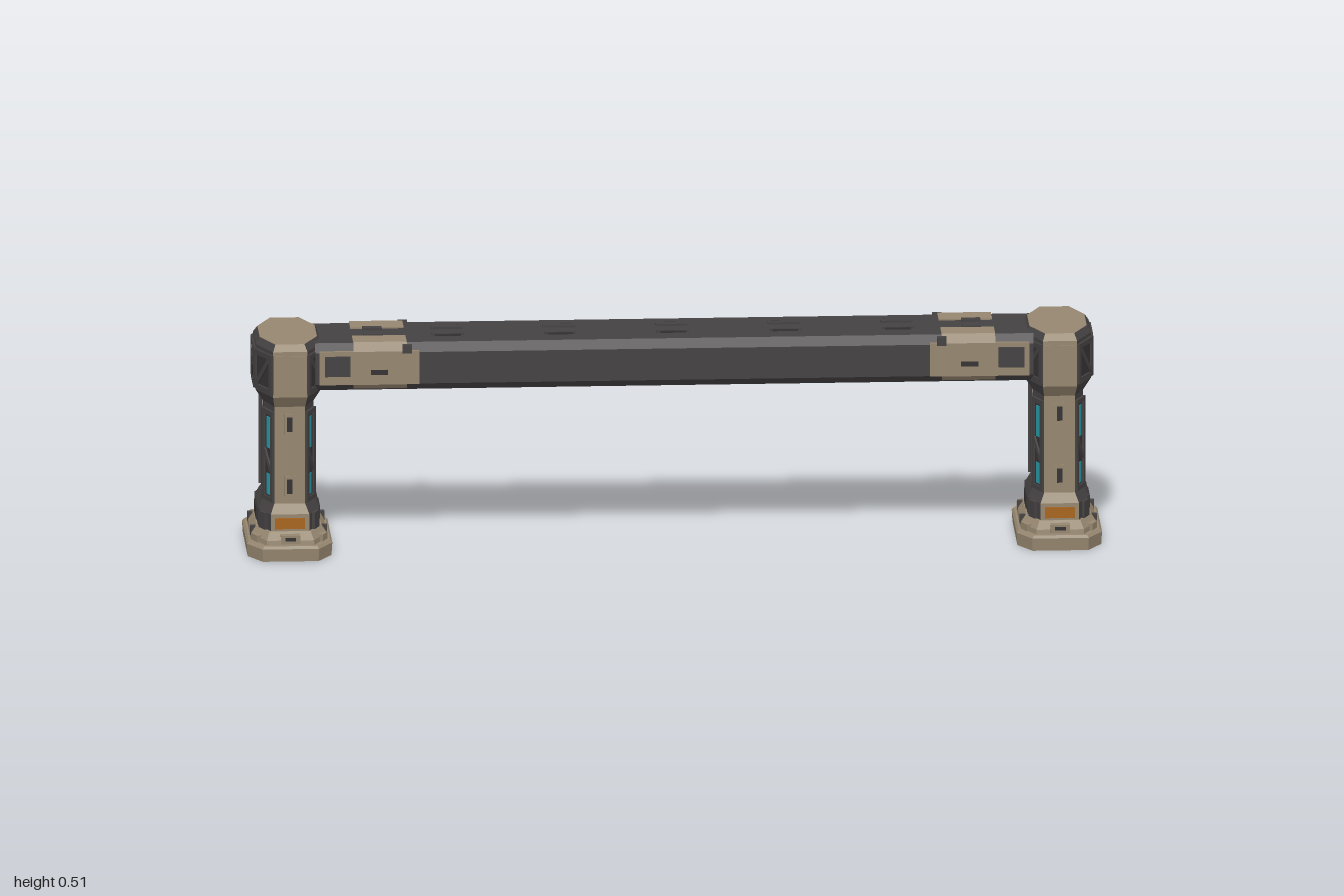
import * as THREE from 'three';

const mat = (name, color) => Object.assign(new THREE.MeshStandardMaterial({ color }), { name });
const dark = mat('dark steel', 0x454142);
const deep = mat('recess steel', 0x353233);
const tan = mat('tan armour', 0x95866f);
const cyan = mat('cyan light', 0x2799a8);
const orange = mat('orange marking', 0xa8651f);

function add(parent, name, geometry, material) {
  const m = new THREE.Mesh(geometry, material);
  m.name = name;
  parent.add(m);
  return m;
}

function box(parent, name, material, w, h, d, x, y, z, rz = 0) {
  const m = add(parent, name, new THREE.BoxGeometry(w, h, d), material);
  m.position.set(x, y, z);
  m.rotation.z = rz;
  return m;
}

// Elongated octagon in plan: hx, hz are half sizes, a and b the half widths of the flats
const oct = (hx, hz, a, b) => [[hx, a], [b, hz], [-b, hz], [-hx, a], [-hx, -a], [-b, -hz], [b, -hz], [hx, -a]];

// Stack of plan outlines [y, points]; sideMat(i) is the material index of each side
function loft(rings, sideMat, topMat, bottomMat) {
  const faces = [];
  const n = rings[0][1].length;
  const at = (r, i) => [r[1][i % n][0], r[0], r[1][i % n][1]];
  for (let k = 0; k + 1 < rings.length; k++) {
    const lo = rings[k], hi = rings[k + 1];
    for (let i = 0; i < n; i++) {
      const [p, q, r, s] = [at(lo, i + 1), at(lo, i), at(hi, i), at(hi, i + 1)];
      faces.push([sideMat(i), p, q, r, p, r, s]);
    }
  }
  const last = rings[rings.length - 1];
  for (let i = 1; i + 1 < n; i++) {
    faces.push([bottomMat, at(rings[0], 0), at(rings[0], i), at(rings[0], i + 1)]);
    faces.push([topMat, at(last, 0), at(last, i + 1), at(last, i)]);
  }
  const pos = [];
  const g = new THREE.BufferGeometry();
  for (const [m, ...pts] of faces) {
    g.addGroup(pos.length / 3, pts.length, m);
    pos.push(...pts.flat());
  }
  g.setAttribute('position', new THREE.Float32BufferAttribute(pos, 3));
  g.computeVertexNormals();
  return g;
}

// Local frame on one side of an outline: x along the side, y up, z outwards
function onSide(parent, name, pts, i) {
  const [x0, z0] = pts[i], [x1, z1] = pts[(i + 1) % pts.length];
  const g = new THREE.Group();
  g.name = name;
  g.position.set((x0 + x1) / 2, 0, (z0 + z1) / 2);
  g.rotation.y = Math.atan2(z0 - z1 === 0 ? 0 : z1 - z0, x0 - x1);
  parent.add(g);
  return g;
}

// Rectangular raised frame
function frame(parent, name, w, h, y, t, d) {
  for (const s of [-1, 1]) {
    box(parent, name, dark, t, h, d, s * (w - t) / 2, y, d / 2);
    box(parent, name, dark, w - 2 * t, t, d, 0, y + s * (h - t) / 2, d / 2);
  }
}

const endsTan = i => (i === 1 || i === 5 ? 1 : 0);
const slants = [0, 2, 4, 6];

function makeLeg() {
  const leg = new THREE.Group();
  leg.name = 'leg';
  const two = [dark, tan];

  // Stepped foot
  add(leg, 'footSlab', loft([[0, oct(0.098, 0.158, 0.105, 0.065)], [0.03, oct(0.1, 0.16, 0.105, 0.066)],
    [0.036, oct(0.095, 0.155, 0.1, 0.062)]], () => 1, 1, 0), two);
  add(leg, 'footStep', loft([[0.035, oct(0.09, 0.147, 0.08, 0.056)], [0.047, oct(0.088, 0.145, 0.08, 0.055)],
    [0.065, oct(0.076, 0.128, 0.07, 0.048)]], () => 1, 1, 0), two);
  add(leg, 'footSkirt', loft([[0.064, oct(0.072, 0.125, 0.066, 0.045)], [0.105, oct(0.072, 0.125, 0.066, 0.045)],
    [0.128, oct(0.06, 0.113, 0.06, 0.036)]], endsTan, 0, 0), two);
  const skirt = oct(0.072, 0.125, 0.066, 0.045);
  for (const i of [1, 5]) {
    const f = onSide(leg, 'skirtEnd', skirt, i);
    box(f, 'orangeMarking', orange, 0.07, 0.026, 0.004, 0, 0.083, 0.001);
    box(f, 'footLatch', tan, 0.045, 0.02, 0.025, 0, 0.05, 0.014);
    box(f, 'footLatchSlot', deep, 0.025, 0.008, 0.004, 0, 0.051, 0.026);
  }
  for (const i of [3, 7]) {
    const f = onSide(leg, 'skirtSide', skirt, i);
    for (const s of [-1, 1]) box(f, 'footBracket', dark, 0.014, 0.022, 0.02, s * 0.062, 0.052, 0.008);
    box(f, 'skirtPanel', deep, 0.075, 0.03, 0.004, 0, 0.085, 0.001);
  }
  for (const i of slants) {
    const f = onSide(leg, 'skirtCorner', skirt, i);
    box(f, 'skirtRib', dark, 0.03, 0.04, 0.008, 0, 0.085, 0.003);
    box(f, 'footClamp', tan, 0.03, 0.016, 0.03, 0, 0.045, 0.012);
  }

  // Two solid posts with an open bay between them
  const col = oct(0.058, 0.113, 0.063, 0.036);
  const post = [[0.058, 0.04], ...col.slice(0, 4), [-0.058, 0.04]];
  for (const turn of [0, Math.PI]) {
    const half = new THREE.Group();
    half.name = 'post';
    half.rotation.y = turn;
    leg.add(half);
    add(half, 'postBody', loft([[0.12, post], [0.375, post]], i => (i === 2 ? 1 : 0), 0, 0), two);
    for (const y of [0.195, 0.305]) box(half, 'innerLight', cyan, 0.05, 0.075, 0.004, 0, y, 0.0395);
    for (const y of [0.17, 0.32]) {
      box(half, 'slotSurround', tan, 0.026, 0.05, 0.006, 0, y, 0.114);
      box(half, 'slot', deep, 0.013, 0.034, 0.004, 0, y, 0.1165);
    }
  }

  // Slanted faces: framed recess, lights and a brace
  for (const i of slants) {
    const f = onSide(leg, 'postCorner', col, i);
    frame(f, 'recessFrame', 0.054, 0.22, 0.24, 0.011, 0.006);
    box(f, 'recess', deep, 0.034, 0.2, 0.002, 0, 0.24, 0.0005);
    box(f, 'cornerLight', cyan, 0.015, 0.075, 0.004, 0, 0.295, 0.001);
    box(f, 'cornerLight', cyan, 0.015, 0.05, 0.004, 0, 0.17, 0.001);
    box(f, 'cornerBrace', dark, 0.01, 0.06, 0.006, 0, 0.228, 0.003, 0.6);
  }

  // Cross bracing on both open sides of the bay
  for (const x of [-0.052, 0.052]) {
    const truss = new THREE.Group();
    truss.name = 'crossBracing';
    truss.position.x = x;
    truss.rotation.y = Math.PI / 2;
    leg.add(truss);
    for (const y of [0.189, 0.306]) for (const s of [-1, 1])
      box(truss, 'brace', dark, 0.012, 0.138, 0.011, 0, y, 0, s * 0.61);
    box(truss, 'bottomRail', dark, 0.082, 0.012, 0.012, 0, 0.126, 0);
    box(truss, 'topRail', dark, 0.082, 0.02, 0.012, 0, 0.366, 0);
  }

  // Cap
  const cap = oct(0.077, 0.134, 0.056, 0.04);
  add(leg, 'cap', loft([[0.362, oct(0.058, 0.113, 0.06, 0.036)], [0.39, cap], [0.5, cap],
    [0.515, oct(0.067, 0.12, 0.05, 0.034)]], endsTan, 1, 0), two);
  for (const i of [1, 5]) {
    const f = onSide(leg, 'capEnd', cap, i);
    box(f, 'capEndPlate', tan, 0.07, 0.09, 0.005, 0, 0.445, 0.001);
  }
  for (const i of slants) {
    const f = onSide(leg, 'capCorner', cap, i);
    frame(f, 'capFrame', 0.088, 0.095, 0.444, 0.012, 0.006);
    box(f, 'capRecess', deep, 0.066, 0.073, 0.002, 0, 0.444, 0.0005);
    box(f, 'capBrace', dark, 0.011, 0.094, 0.006, 0, 0.444, 0.003, (i === 0 || i === 4 ? 1 : -1) * 0.72);
  }
  for (const i of [3, 7]) {
    const f = onSide(leg, 'capSide', cap, i);
    frame(f, 'capFrame', 0.108, 0.1, 0.444, 0.014, 0.005);
    const hatch = add(f, 'capHatch', new THREE.CylinderGeometry(0.036, 0.038, 0.006, 8), deep);
    hatch.geometry.rotateY(Math.PI / 8).rotateX(Math.PI / 2).scale(1, 0.6, 1);
    hatch.position.set(0, 0.432, 0.002);
    box(f, 'capLightHousing', dark, 0.06, 0.018, 0.006, 0, 0.478, 0.003);
    box(f, 'capLight', cyan, 0.014, 0.006, 0.004, 0, 0.48, 0.005);
  }
  return leg;
}

// Extrudes a (z, y) section along x, centred on the given x
function alongX(points, length, x) {
  const shape = new THREE.Shape(points.map(([z, y]) => new THREE.Vector2(-z, y)));
  return new THREE.ExtrudeGeometry(shape, { depth: length, bevelEnabled: false })
    .rotateY(Math.PI / 2).translate(x - length / 2, 0, 0);
}

// Beam end: wrapped armour, connector blocks and clips on both faces
function makeBeamEnd() {
  const end = new THREE.Group();
  end.name = 'beamEnd';
  const wrap = [[0.035, 0.511], [0.094, 0.511], [0.112, 0.492], [0.112, 0.412], [0.1, 0.4],
    [0.1, 0.42], [0.1, 0.485], [0.09, 0.5], [0.035, 0.5]];
  const shoulder = [[0.111, 0.492], [0.111, 0.412], [0.1, 0.412], [0.1, 0.492]];
  for (const s of [1, -1]) {
    const turn = pts => pts.map(([z, y]) => [s * z, y]);
    add(end, 'armourWrap', alongX(turn(wrap), 0.125, 0.688), tan);
    add(end, 'armourTip', alongX(turn(shoulder), 0.03, 0.612), tan);
    add(end, 'armourShoulder', alongX(turn(shoulder), 0.08, 0.79), tan);
    box(end, 'connectorBlock', dark, 0.06, 0.048, 0.016, 0.788, 0.457, s * 0.108);
    box(end, 'armourSlot', deep, 0.04, 0.012, 0.004, 0.69, 0.442, s * 0.1115);
    box(end, 'clip', dark, 0.022, 0.02, 0.014, 0.625, 0.497, s * 0.108);
    box(end, 'topRib', dark, 0.045, 0.006, 0.018, 0.7, 0.511, s * 0.028);
  }
  return end;
}

export function createModel() {
  const model = new THREE.Group();
  model.name = 'gantry';

  // Chamfered beam
  add(model, 'beam', alongX([[0.106, 0.412], [0.106, 0.488], [0.088, 0.508], [-0.088, 0.508],
    [-0.106, 0.488], [-0.106, 0.412], [-0.09, 0.395], [0.09, 0.395]], 1.68, 0), dark);
  for (let i = -2; i <= 2; i++) for (const z of [-0.03, 0.026]) for (const [y, s] of [[0.508, 1], [0.395, -1]]) {
    box(model, 'ventHood', dark, 0.075, 0.006, 0.018, i * 0.263, y + s * 0.002, z);
    box(model, 'ventSlot', deep, 0.06, 0.005, 0.006, i * 0.263, y + s * 0.0015, z + Math.sign(z) * 0.011);
  }

  // Both ends are the same, turned half round
  for (const side of [1, -1]) {
    const leg = makeLeg(), end = makeBeamEnd();
    leg.position.x = side * 0.9;
    leg.rotation.y = end.rotation.y = side > 0 ? 0 : Math.PI;
    model.add(leg, end);
  }
  return model;
}
